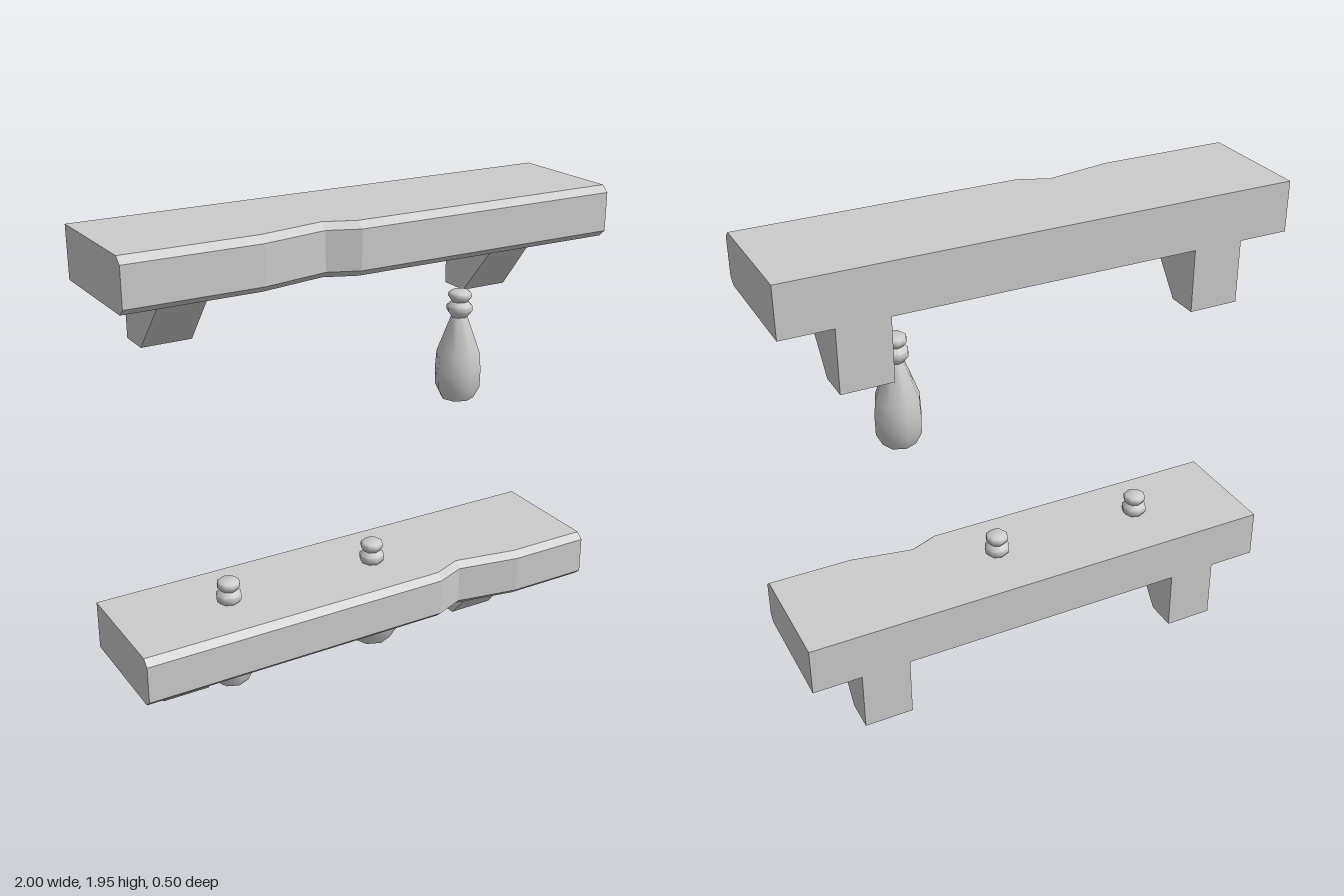
import * as THREE from 'three';
import { toCreasedNormals } from 'three/addons/utils/BufferGeometryUtils.js';

const flatMat = new THREE.MeshStandardMaterial({ color: 0xcccccc, flatShading: true });
const smoothMat = new THREE.MeshStandardMaterial({ color: 0xcccccc });

// Joins convex [z, y] cross-sections along x (ascending) and caps both ends.
function loft(xs, section) {
  const rings = xs.map((x, j) => section(j).map(([z, y]) => [x, y, z]));
  const pos = [];
  const tri = (...corners) => corners.forEach((c) => pos.push(...c));
  const n = rings[0].length;
  for (let j = 0; j < rings.length - 1; j++) {
    for (let i = 0; i < n; i++) {
      const k = (i + 1) % n;
      const [a, b, c, d] = [rings[j][i], rings[j][k], rings[j + 1][i], rings[j + 1][k]];
      tri(a, c, b);
      tri(b, c, d);
    }
  }
  const first = rings[0];
  const last = rings[rings.length - 1];
  for (let i = 1; i < n - 1; i++) {
    tri(first[0], first[i], first[i + 1]);
    tri(last[0], last[i + 1], last[i]);
  }
  const geo = new THREE.BufferGeometry();
  geo.setAttribute('position', new THREE.Float32BufferAttribute(pos, 3));
  geo.computeVertexNormals();
  return geo;
}

function addMesh(parent, name, geo, mat, x, y) {
  const mesh = new THREE.Mesh(geo, mat);
  mesh.name = name;
  mesh.position.set(x, y, 0);
  parent.add(mesh);
}

// Board with a bevelled front edge, worn in at the middle one of three notch points.
function boardGeometry(notch) {
  const xs = [-1, ...notch, 1];
  return loft(xs, (j) => {
    const cut = j === 2 ? 0.048 : 0;
    return [
      [-0.25, 0], [0.222 - cut, 0], [0.25 - cut, 0.025],
      [0.25 - cut, 0.175], [0.222 - cut, 0.2], [-0.25, 0.2],
    ];
  });
}

// Bracket with a sloping, slightly twisted front.
function bracketGeometry() {
  const reach = [0.1, 0.077];
  return loft([-0.1, 0.1], (j) => [[-0.25, 0], [-0.122, 0], [reach[j], 0.25], [-0.25, 0.25]]);
}

// Eight-sided bottle: a given body below a shared two-ringed neck.
function bottleGeometry(body) {
  const neck = [
    [0.033, 0.34], [0.052, 0.365], [0.052, 0.385], [0.033, 0.402],
    [0.048, 0.422], [0.046, 0.436], [0.036, 0.445], [0, 0.445],
  ];
  const points = [[0, 0], ...body, ...neck].map(([r, y]) => new THREE.Vector2(r, y));
  return toCreasedNormals(new THREE.LatheGeometry(points, 8), THREE.MathUtils.degToRad(50));
}

export function createModel() {
  const model = new THREE.Group();
  model.name = 'wallShelves';

  // Two shelves, each a board on two brackets
  const bracket = bracketGeometry();
  const shelves = [
    { name: 'lowerShelf', y: 0, notch: [0.28, 0.4, 0.66] },
    { name: 'upperShelf', y: 1.5, notch: [-0.48, -0.22, -0.1] },
  ];
  for (const { name, y, notch } of shelves) {
    const shelf = new THREE.Group();
    shelf.name = name;
    shelf.position.y = y;
    addMesh(shelf, 'board', boardGeometry(notch), flatMat, 0, 0.25);
    for (const x of [-0.7, 0.7]) addMesh(shelf, 'bracket', bracket, flatMat, x, 0);
    model.add(shelf);
  }

  // Bottles: two slim, one round-bellied; the lower ones pass through the board
  const slim = bottleGeometry([[0.067, 0], [0.092, 0.05], [0.093, 0.12], [0.088, 0.19]]);
  const round = bottleGeometry([[0.08, 0], [0.135, 0.095], [0.138, 0.16], [0.1, 0.24]]);
  addMesh(model, 'hangingBottle', slim, smoothMat, 0.5, 1.1);
  addMesh(model, 'slimBottle', slim, smoothMat, -0.55, 0.1);
  addMesh(model, 'roundBottle', round, smoothMat, 0.1, 0.1);

  return model;
}
